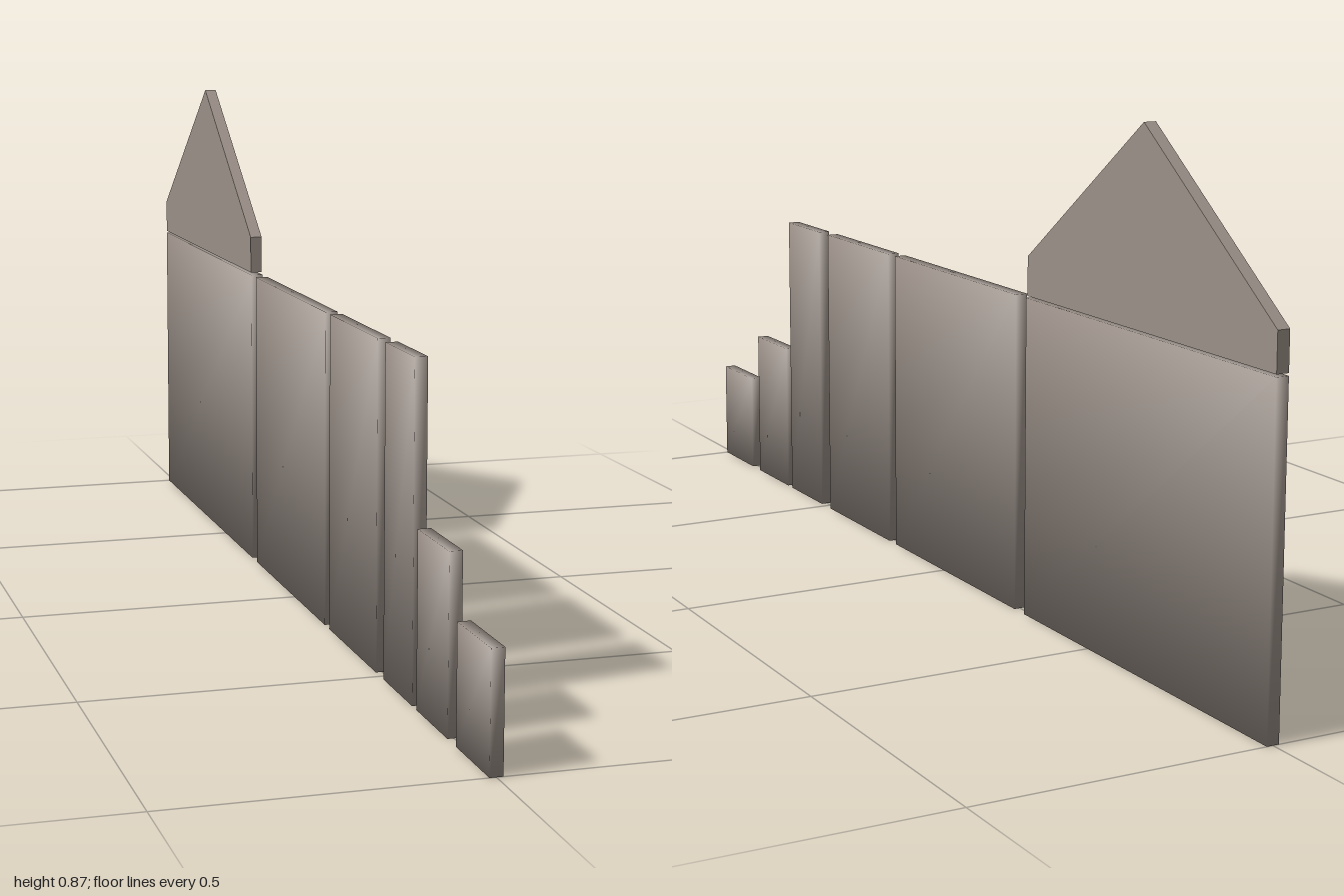
import * as THREE from 'three';

const THICK = 0.021;

export function createModel() {
  const model = new THREE.Group();
  const stone = new THREE.MeshStandardMaterial({ color: 0x9b9088 });
  stone.name = 'warm grey stone';

  // Thin upright slab between two z values, shaded softly across its corners
  function addPanel(name, zBack, zFront, height) {
    const depth = zFront - zBack;
    const geo = new THREE.BoxGeometry(THICK, height, depth);
    const pos = geo.attributes.position;
    const n = new THREE.Vector3();
    for (let i = 0; i < pos.count; i++) {
      n.set(Math.sign(pos.getX(i)), Math.sign(pos.getY(i)), Math.sign(pos.getZ(i))).normalize();
      geo.attributes.normal.setXYZ(i, n.x, n.y, n.z);
    }
    const mesh = new THREE.Mesh(geo, stone);
    mesh.name = name;
    mesh.position.set(0, height / 2, (zBack + zFront) / 2);
    model.add(mesh);
  }

  // Row of wall panels, from front to back
  addPanel('lowSillPanel', 0.86, 1.0, 0.188);
  addPanel('sillPanel', 0.68, 0.823, 0.283);
  addPanel('narrowWallPanel', 0.517, 0.66, 0.542);
  addPanel('mediumWallPanel', 0.217, 0.478, 0.542);
  addPanel('wideWallPanel', -0.26, 0.19, 0.542);
  addPanel('largeWallPanel', -1.0, -0.293, 0.542);

  // Gable: five-sided outline in z and y, given the wall thickness
  const outline = new THREE.Shape([
    [-1, 0.546], [-0.298, 0.546], [-0.298, 0.612], [-0.646, 0.865], [-1, 0.609],
  ].map(([z, y]) => new THREE.Vector2(z, y)));
  const gableGeo = new THREE.ExtrudeGeometry(outline, { depth: THICK, bevelEnabled: false });
  gableGeo.translate(0, 0, -THICK / 2).rotateY(-Math.PI / 2);
  const gable = new THREE.Mesh(gableGeo, stone);
  gable.name = 'gable';
  model.add(gable);

  return model;
}
